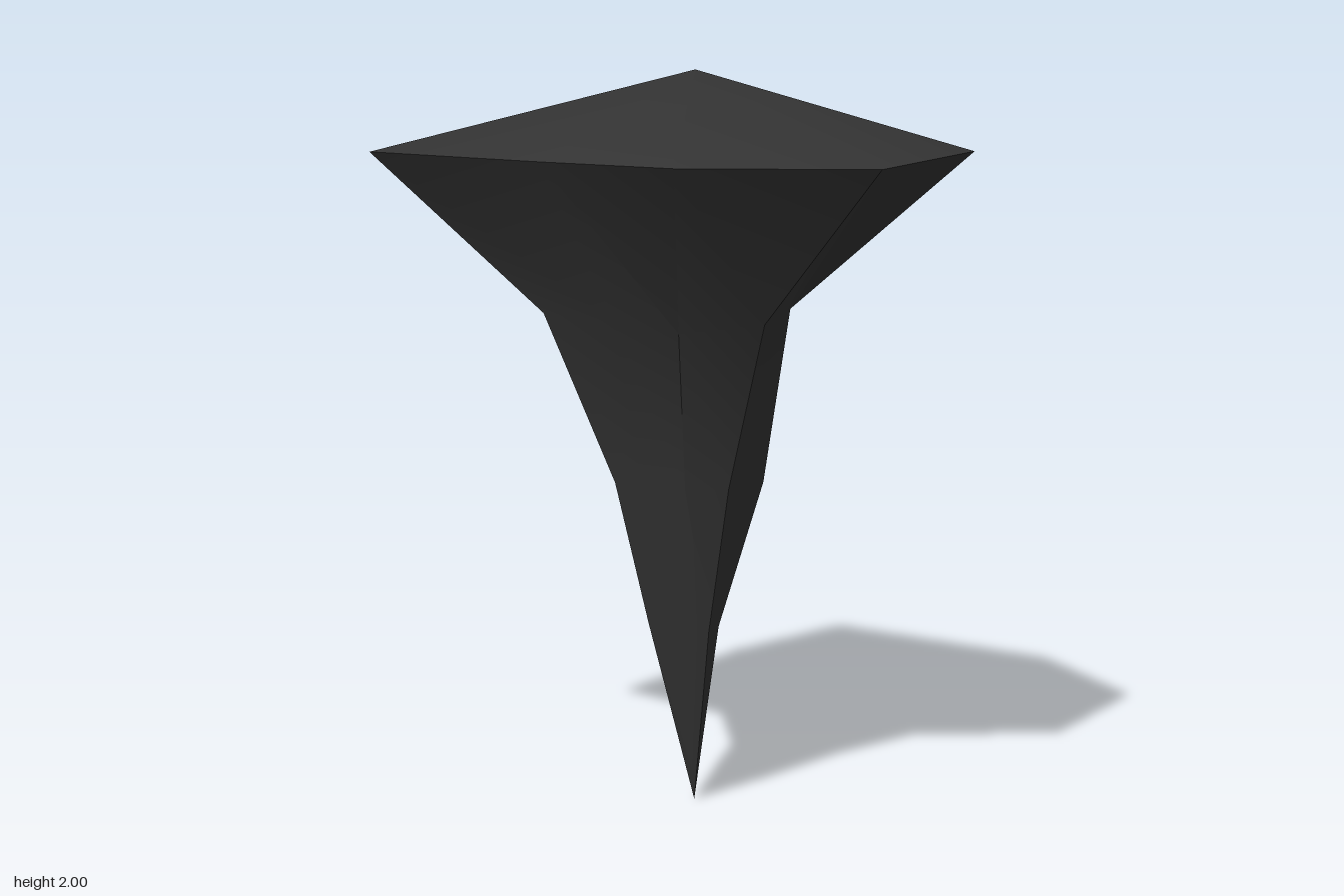
import * as THREE from 'three';
import { toCreasedNormals } from 'three/addons/utils/BufferGeometryUtils.js';

// Cross-sections run clockwise seen from above, starting at the back right corner.
const rim = [
  [-0.68, 1.785, -0.49], [-0.02, 1.77, -0.7], [0.52, 1.755, -0.76], [0.68, 1.78, 0.06],
  [0.49, 1.79, 0.59], [-0.01, 1.77, 0.76], [-0.43, 1.775, 0.46], [-0.56, 1.78, 0.09],
];
const neck = [
  [-0.32, 1.355, -0.21], [0, 1.32, -0.24], [0.24, 1.33, -0.25], [0.28, 1.36, 0.03],
  [0.16, 1.37, 0.24], [-0.03, 1.35, 0.35], [-0.22, 1.33, 0.23], [-0.28, 1.35, 0.04],
];
const middle = [
  [-0.19, 0.9, -0.07], [-0.02, 0.9, -0.13], [0.12, 0.88, -0.15], [0.14, 0.9, 0.02],
  [0.12, 0.9, 0.18], [-0.03, 0.9, 0.21], [-0.13, 0.9, 0.15], [-0.17, 0.9, 0.02],
];
const low = [
  [-0.1, 0.51, -0.04], [-0.02, 0.51, -0.06], [0.06, 0.51, -0.06], [0.07, 0.51, 0.01],
  [0.04, 0.5, 0.09], [-0.03, 0.5, 0.13], [-0.08, 0.5, 0.08], [-0.09, 0.5, 0.02],
];
const point = (x, y, z) => rim.map(() => [x, y, z]);

// Join stacked rings, listed from top to bottom; a ring may collapse to a point.
function loft(rings, crease) {
  const positions = [];
  const same = (p, q) => p.every((v, i) => v === q[i]);
  const triangle = (a, b, c) => {
    if (!same(a, b) && !same(b, c) && !same(a, c)) positions.push(...a, ...b, ...c);
  };
  for (let r = 0; r < rings.length - 1; r++) {
    const upper = rings[r], lower = rings[r + 1], n = upper.length;
    for (let i = 0; i < n; i++) {
      const j = (i + 1) % n;
      triangle(upper[i], upper[j], lower[i]);
      triangle(upper[j], lower[j], lower[i]);
    }
  }
  const geometry = new THREE.BufferGeometry();
  geometry.setAttribute('position', new THREE.Float32BufferAttribute(positions, 3));
  return toCreasedNormals(geometry, crease);
}

export function createModel() {
  const group = new THREE.Group();
  group.name = 'rockSpike';
  const stone = new THREE.MeshStandardMaterial({ color: 0x333333 });
  stone.name = 'dark stone';

  // Shallow domed cap
  const cap = new THREE.Mesh(loft([point(-0.01, 2, 0.05), rim], 0.7), stone);
  cap.name = 'cap';

  // Flared head tapering to the tip
  const spike = new THREE.Mesh(loft([rim, neck, middle, low, point(0.03, 0, 0)], 0.65), stone);
  spike.name = 'spike';

  group.add(cap, spike);
  return group;
}
